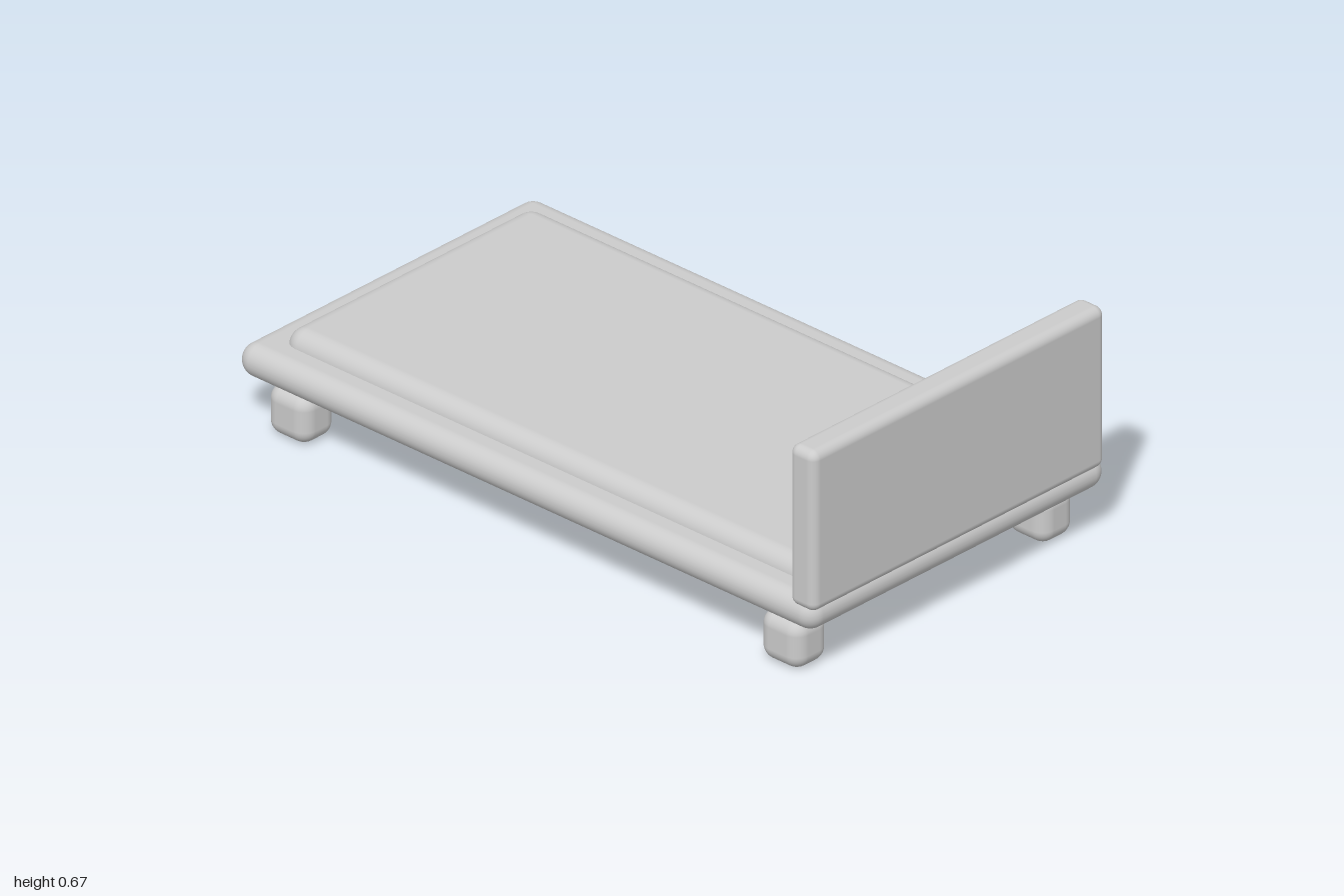
import * as THREE from 'three';
import { RoundedBoxGeometry } from 'three/addons/geometries/RoundedBoxGeometry.js';

const material = new THREE.MeshStandardMaterial({ color: 0xcccccc });

// Soft-edged block given by its [min, max] extent on each axis
function block(name, [x0, x1], [y0, y1], [z0, z1], radius) {
  const geometry = new RoundedBoxGeometry(x1 - x0, y1 - y0, z1 - z0, 5, radius);
  const mesh = new THREE.Mesh(geometry, material);
  mesh.name = name;
  mesh.position.set((x0 + x1) / 2, (y0 + y1) / 2, (z0 + z1) / 2);
  return mesh;
}

export function createModel() {
  const bed = new THREE.Group();
  bed.name = 'bed';

  // Frame, mattress and headboard
  bed.add(
    block('frame', [-1, 0.993], [0.137, 0.23], [-0.545, 0.545], 0.046),
    block('mattress', [-0.917, 0.925], [0.165, 0.272], [-0.45, 0.463], 0.05),
    block('headboard', [0.912, 1], [0.205, 0.665], [-0.527, 0.543], 0.025)
  );

  // Four stubby feet; one back foot sits slightly further out
  const feet = [
    ['frontRightFoot', -0.843, 0.467],
    ['frontLeftFoot', 0.86, 0.467],
    ['backRightFoot', -0.843, -0.447],
    ['backLeftFoot', 0.86, -0.432]
  ];
  for (const [name, x, z] of feet) {
    bed.add(block(name, [x - 0.07, x + 0.07], [0, 0.14], [z - 0.061, z + 0.061], 0.04));
  }

  return bed;
}
